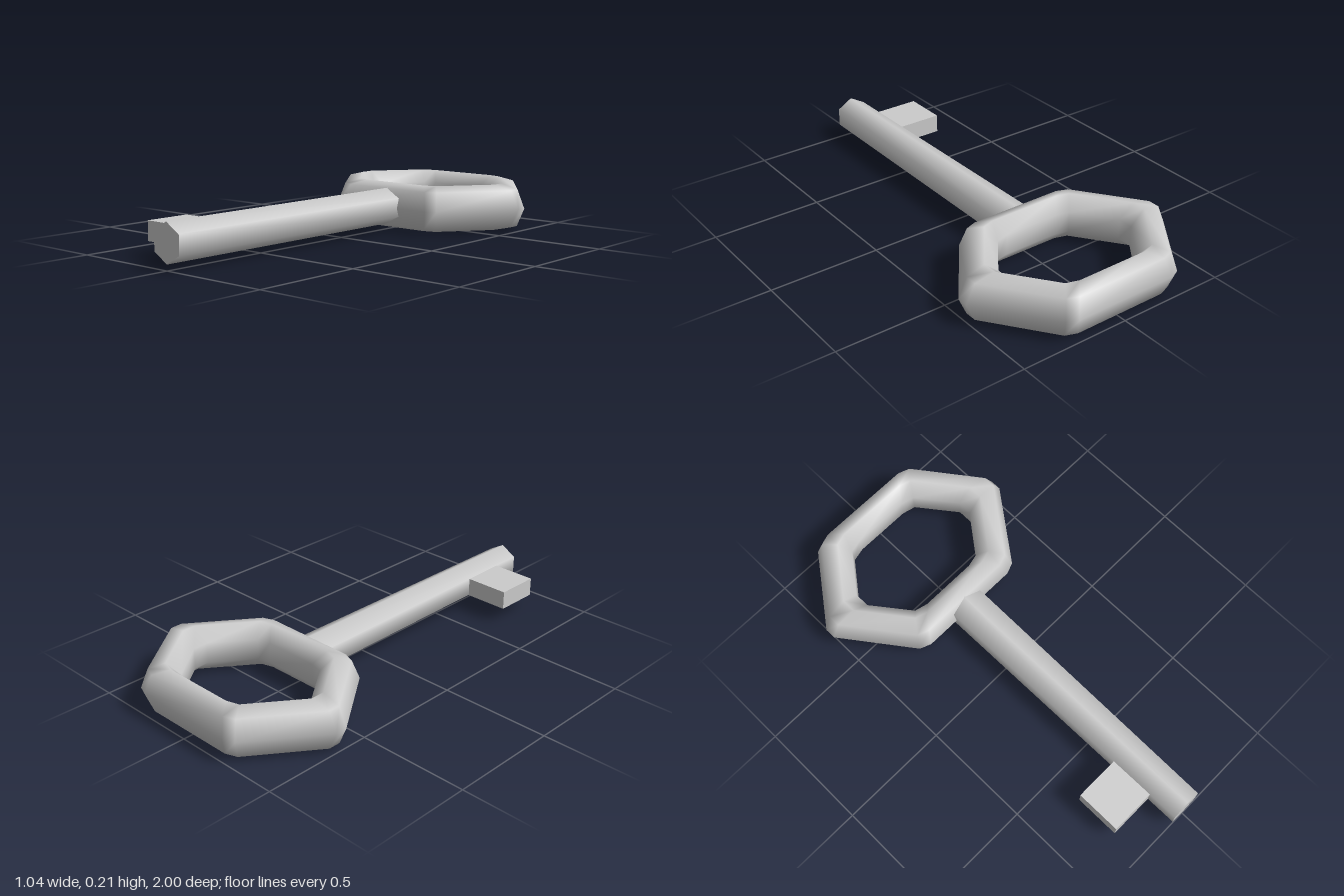
import * as THREE from 'three';

const MID = 0.105; // height of the key's centre plane

// Ring: a bevelled hexagon loop with a seven-sided cross-section
function ringGeometry() {
  // One quarter of the loop: outer x, outer z, inner x, inner z
  const quarter = [
    [0.52, 0.025, 0.32, 0.035],
    [0.29, 0.335, 0.19, 0.205],
    [0.24, 0.355, 0.13, 0.22],
  ];
  const back = [...quarter].reverse();
  const flip = (list, sx, sz) => list.map(([a, b, c, d]) => [a * sx, b * sz, c * sx, d * sz]);
  const loop = [
    ...quarter, ...flip(back, -1, 1), ...flip(quarter, -1, -1), ...flip(back, 1, -1),
  ];
  const sides = 7;
  const reach = 1 + Math.cos(Math.PI / sides);
  const positions = [];
  const index = [];
  loop.forEach(([ox, oz, ix, iz], i) => {
    const next = (i + 1) % loop.length;
    for (let j = 0; j < sides; j++) {
      const angle = (j / sides) * Math.PI * 2;
      const u = (1 - Math.cos(angle)) / reach; // 0 at the outer rim, 1 at the inner
      positions.push(ox + (ix - ox) * u, Math.sin(angle) * 0.1077, oz + (iz - oz) * u);
      const k = (j + 1) % sides;
      const a = i * sides + j, b = i * sides + k;
      const c = next * sides + j, d = next * sides + k;
      index.push(a, b, c, b, d, c);
    }
  });
  const geometry = new THREE.BufferGeometry();
  geometry.setAttribute('position', new THREE.Float32BufferAttribute(positions, 3));
  geometry.setIndex(index);
  geometry.computeVertexNormals();
  return geometry;
}

// Shaft: a six-sided rod that widens slightly towards the ring
function shaftGeometry() {
  const length = 1.36;
  const geometry = new THREE.CylinderGeometry(0.083, 0.083, length, 6);
  geometry.rotateX(Math.PI / 2);
  const p = geometry.attributes.position;
  for (let i = 0; i < p.count; i++) {
    const t = 0.5 - p.getZ(i) / length;
    p.setX(i, p.getX(i) * (1 + 0.15 * t));
  }
  return geometry;
}

export function createModel() {
  const model = new THREE.Group();
  model.name = 'key';
  const material = new THREE.MeshStandardMaterial({ color: 0xcccccc });
  const add = (name, geometry, x, y, z) => {
    const mesh = new THREE.Mesh(geometry, material);
    mesh.name = name;
    mesh.position.set(x, y, z);
    model.add(mesh);
  };
  add('ringHandle', ringGeometry(), 0, MID, -0.645);
  add('shaft', shaftGeometry(), 0, 0.108, 0.32);
  // Bit: the single tooth, running into the shaft
  add('bit', new THREE.BoxGeometry(0.24, 0.085, 0.205), -0.16, 0.107, 0.757);
  return model;
}
